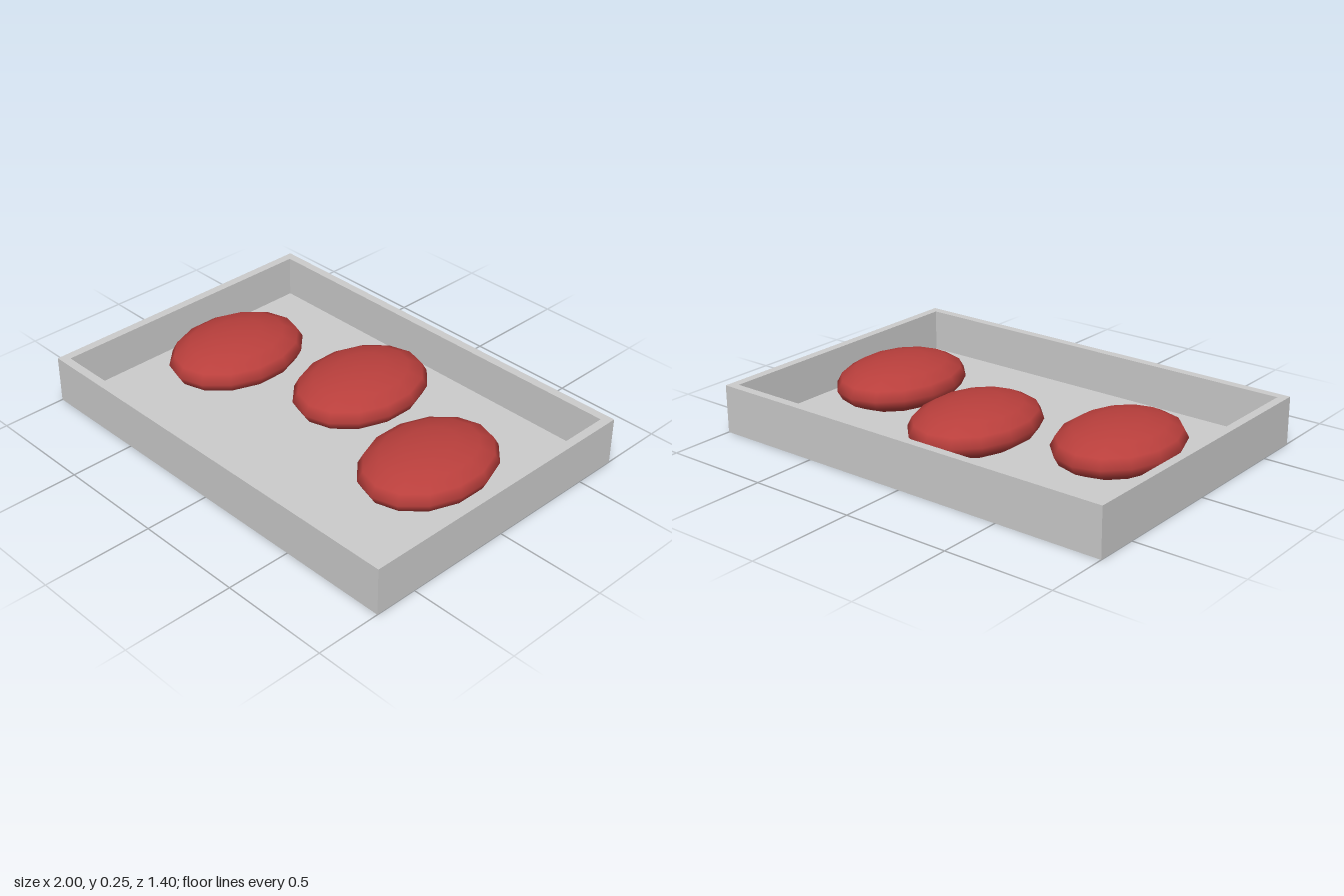
import * as THREE from 'three';

// Skins a stack of rectangular loops [halfX, halfZ, y]; the first and last shrink to a point.
function skinRectangles(loops) {
  const signs = [[1, 1], [1, -1], [-1, -1], [-1, 1]];
  const point = (r, i) => {
    const [hx, hz, y] = loops[r];
    const [sx, sz] = signs[i % 4];
    return [sx * hx, y, sz * hz];
  };
  const positions = [];
  const last = loops.length - 2;
  for (let r = 0; r <= last; r++) {
    for (let i = 0; i < 4; i++) {
      const a = point(r, i), b = point(r, i + 1);
      const c = point(r + 1, i + 1), d = point(r + 1, i);
      if (r > 0) positions.push(...a, ...b, ...c);
      if (r < last) positions.push(...a, ...c, ...d);
    }
  }
  const geometry = new THREE.BufferGeometry();
  geometry.setAttribute('position', new THREE.Float32BufferAttribute(positions, 3));
  geometry.computeVertexNormals();
  return geometry;
}

export function createModel() {
  const model = new THREE.Group();
  model.name = 'trayWithOvals';

  // Open tray: underside, outer walls, rim, inner walls, floor
  const tray = new THREE.Mesh(
    skinRectangles([
      [0, 0, 0],
      [1, 0.7, 0],
      [1, 0.7, 0.22],
      [0.96, 0.66, 0.22],
      [0.96, 0.66, 0.025],
      [0, 0, 0.025],
    ]),
    new THREE.MeshStandardMaterial({ color: 0xcccccc })
  );
  tray.name = 'tray';
  model.add(tray);

  // Three flattened oval pieces, the middle one set further back
  const ovalGeometry = new THREE.SphereGeometry(1, 14, 8)
    .rotateY(Math.PI / 2)
    .scale(0.26, 0.11, 0.338);
  const red = new THREE.MeshStandardMaterial({ color: 0xb93f3c });
  const places = { rightOval: [-0.6, 0], middleOval: [0, -0.2], leftOval: [0.6, 0] };
  for (const [name, [x, z]] of Object.entries(places)) {
    const oval = new THREE.Mesh(ovalGeometry, red);
    oval.name = name;
    oval.position.set(x, 0.14, z);
    model.add(oval);
  }

  return model;
}
